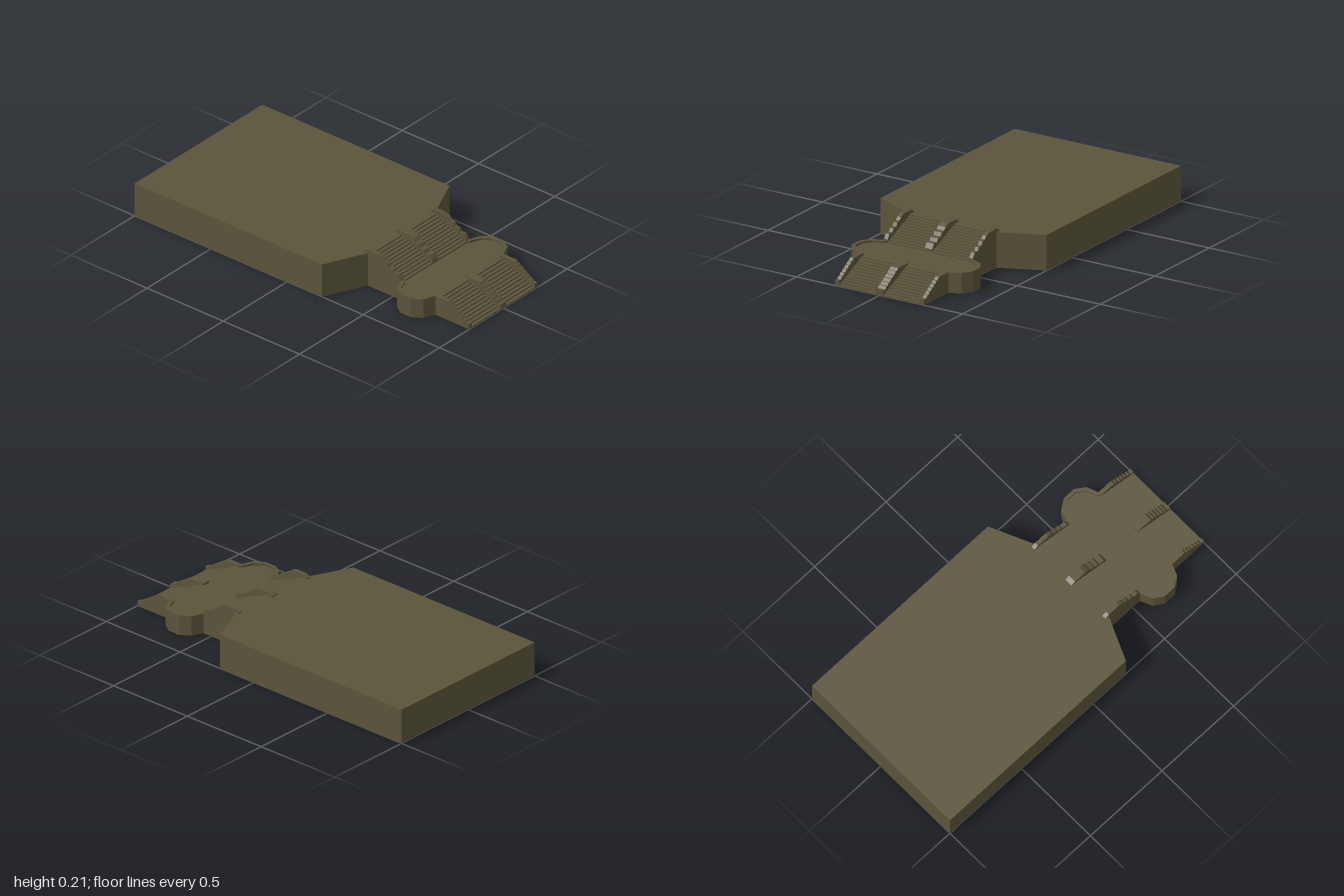
import * as THREE from 'three';

const stone = new THREE.MeshStandardMaterial({ color: 0x5b543a, side: THREE.DoubleSide });
stone.name = 'olive stone';

export function createModel() {
  const model = new THREE.Group();
  model.name = 'steppedPlatform';

  const add = (name, geometry) => {
    const mesh = new THREE.Mesh(geometry, stone);
    mesh.name = name;
    model.add(mesh);
    return mesh;
  };

  // Flat-shaded strip between two matching rows of points
  const loft = (a, b) => {
    const pos = [];
    for (let i = 0; i < a.length - 1; i++) {
      pos.push(...a[i], ...b[i], ...b[i + 1], ...a[i], ...b[i + 1], ...a[i + 1]);
    }
    const g = new THREE.BufferGeometry();
    g.setAttribute('position', new THREE.Float32BufferAttribute(pos, 3));
    g.computeVertexNormals();
    return g;
  };

  // Shape drawn in plan from [x, z] points
  const plan = (pts) => new THREE.Shape(pts.map(([x, z]) => new THREE.Vector2(x, -z)));
  const sheet = (pts, y) => new THREE.ShapeGeometry(plan(pts)).rotateX(-Math.PI / 2).translate(0, y, 0);

  // Hollow platform: top sheet and outer walls, open underneath
  const deck = [[0.265, 0.335], [-0.265, 0.335], [-0.5, 0.23], [-0.5, -1], [0.5, -1], [0.5, 0.23]];
  const deckHeight = 0.19;
  const loop = [...deck, deck[0]];
  add('platformTop', sheet(deck, deckHeight));
  add('platformWalls', loft(loop.map(([x, z]) => [x, 0, z]), loop.map(([x, z]) => [x, deckHeight, z])));

  // Stair flights as folded sheets between the side rails
  const flight = (name, z0, z1, y0, y1, count) => {
    const profile = [[z0, y0]];
    for (let i = 0; i < count; i++) {
      const y = y0 + ((y1 - y0) * (i + 1)) / count;
      profile.push([z0 + ((z1 - z0) * i) / count, y], [z0 + ((z1 - z0) * (i + 1)) / count, y]);
    }
    const row = (x) => profile.map(([z, y]) => [x, y, z]);
    add(name, loft(row(-0.246), row(0.246)));
  };
  const floorY = 0.098;
  flight('lowerSteps', 1, 0.775, 0, floorY, 12);
  flight('upperSteps', 0.555, 0.335, floorY, deckHeight, 12);

  // Landing floor with rounded ends
  const inner = [[0.246, 0.555], [0.256, 0.568], [0.315, 0.592], [0.346, 0.637], [0.346, 0.693], [0.315, 0.738], [0.256, 0.762], [0.246, 0.775]];
  const outer = [[0.267, 0.552], [0.33, 0.578], [0.365, 0.63], [0.365, 0.7], [0.33, 0.752], [0.267, 0.778]];
  const mirrored = (pts) => pts.map(([x, z]) => [-x, z]).reverse();
  add('landingFloor', sheet([...inner, ...mirrored(inner)], floorY));

  // Raised curb around each landing end
  const curb = [...outer, ...[...inner].reverse()];
  for (const [name, pts] of [['leftCurb', curb], ['rightCurb', mirrored(curb)]]) {
    add(name, new THREE.ExtrudeGeometry(plan(pts), { depth: 0.11, bevelEnabled: false }).rotateX(-Math.PI / 2));
  }

  // Rail profiles as [z, y]: small slopes and treads
  const lowerRail = [[0.775, 0], [1, 0], [1, 0.03]];
  for (let i = 0; i < 6; i++) {
    lowerRail.push([0.982 - i * 0.021, 0.03 + i * 0.0133], [0.969 - i * 0.021, 0.0433 + i * 0.0133]);
  }
  lowerRail.push([0.775, 0.11]);
  const upperRail = [
    [0.335, 0], [0.552, 0], [0.552, 0.115], [0.535, 0.14], [0.508, 0.14], [0.497, 0.157], [0.474, 0.16],
    [0.463, 0.178], [0.443, 0.183], [0.43, 0.198], [0.405, 0.21], [0.335, 0.21], [0.31, 0.197], [0.31, 0.18], [0.335, 0.18],
  ];
  const rail = (name, profile, x, width) => {
    const shape = new THREE.Shape(profile.map(([z, y]) => new THREE.Vector2(z, y)));
    const g = new THREE.ExtrudeGeometry(shape, { depth: width, bevelEnabled: false });
    add(name, g.rotateY(-Math.PI / 2).translate(x + width / 2, 0, 0));
  };
  for (const [side, x, width] of [['left', 0.2565, 0.022], ['centre', 0, 0.044], ['right', -0.2565, 0.022]]) {
    rail(side + 'LowerRail', lowerRail, x, width);
    rail(side + 'UpperRail', upperRail, x, width);
  }

  return model;
}
